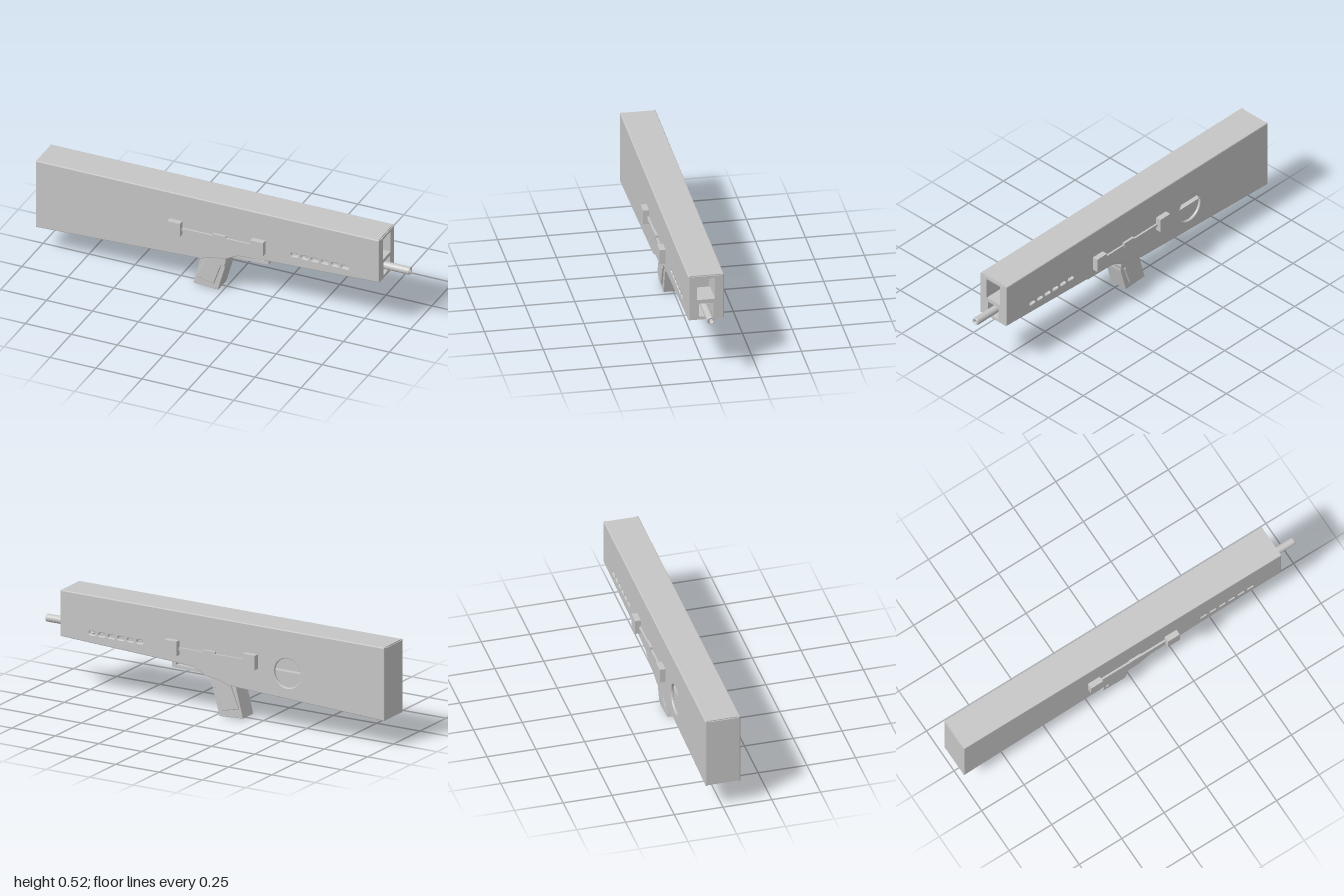
import * as THREE from 'three';

const grey = new THREE.MeshStandardMaterial({ color: 0xc6c6c6 });
grey.name = 'plain grey';

export function createModel() {
  const model = new THREE.Group();
  model.name = 'casedModel';

  const add = (name, geo) => {
    const mesh = new THREE.Mesh(geo, grey);
    mesh.name = name;
    model.add(mesh);
    return mesh;
  };
  // Box given by its limits on each axis
  const box = (name, x0, x1, y0, y1, z0, z1) =>
    add(name, new THREE.BoxGeometry(x1 - x0, y1 - y0, z1 - z0)
      .translate((x0 + x1) / 2, (y0 + y1) / 2, (z0 + z1) / 2));
  const outline = pts => new THREE.Shape(pts.map(p => new THREE.Vector2(...p)));
  // Side profile extruded between two z values, with an optional soft edge
  const slab = (name, shape, z0, z1, b = 0) =>
    add(name, new THREE.ExtrudeGeometry(shape, {
      depth: z1 - z0 - 2 * b, bevelEnabled: b > 0, bevelThickness: b, bevelSize: b,
      bevelOffset: -b, bevelSegments: 2, curveSegments: 20,
    }).translate(0, 0, z0 + b));
  const rect = (x0, x1, y0, y1) => outline([[x0, y0], [x1, y0], [x1, y1], [x0, y1]]);

  // Lower edge of the casing, in front of and behind the grip
  const frontEdge = x => 0.28 - 0.0435 * (0.87 - x);
  const rearEdge = x => 0.14 + 0.0435 * (x + 1);

  // Side walls with vent slots; the right wall also has a round port
  for (const s of [1, -1]) {
    const wall = outline([
      [-1, 0.14], [-0.1, rearEdge(-0.1)], [-0.04, 0.2], [0.03, 0.207], [0.1, 0.243],
      [0.25, frontEdge(0.25)], [0.87, 0.28], [0.87, 0.52], [-1, 0.52],
    ]);
    for (let i = 0; i < 6; i++) {
      const x = 0.41 + 0.055 * i, y = 0.325, r = 0.008, l = 0.011;
      const slot = new THREE.Path();
      slot.absarc(x + l, y, r, -Math.PI / 2, Math.PI / 2);
      slot.absarc(x - l, y, r, Math.PI / 2, Math.PI * 1.5);
      wall.holes.push(slot);
    }
    if (s < 0) {
      const port = new THREE.Path();
      port.absarc(-0.44, 0.298, 0.075, 0, Math.PI * 2);
      wall.holes.push(port);
    }
    slab(s > 0 ? 'leftWall' : 'rightWall', wall, s > 0 ? 0.075 : -0.09, s > 0 ? 0.09 : -0.075, 0.005);
  }

  // Top, back and bottom plates between the walls
  box('topPlate', -0.995, 0.865, 0.505, 0.52, -0.085, 0.085);
  box('backPlate', -1, -0.985, 0.145, 0.515, -0.085, 0.085);
  const bottom = (name, x0, x1, edge) => slab(name, outline([
    [x0, edge(x0)], [x1, edge(x1)], [x1, edge(x1) + 0.015], [x0, edge(x0) + 0.015],
  ]), -0.085, 0.085);
  bottom('rearBottomPlate', -0.995, -0.2, rearEdge);
  bottom('frontBottomPlate', 0.42, 0.868, frontEdge);

  // Front block with two square windows
  const face = rect(-0.085, 0.085, 0.28, 0.515);
  face.holes.push(rect(-0.045, 0.045, 0.388, 0.502), rect(-0.036, 0.036, 0.296, 0.367));
  add('frontBlock', new THREE.ExtrudeGeometry(face, { depth: 0.14, bevelEnabled: false })
    .rotateY(Math.PI / 2).translate(0.73, 0, 0));

  // Inner parts seen through the openings
  box('innerCore', -0.98, 0.7, 0.3, 0.505, -0.045, 0.045);
  box('portShelf', -0.6, -0.28, 0.18, 0.298, -0.068, 0.04);
  box('bulkhead', -0.25, -0.22, 0.18, 0.505, -0.076, 0.076);
  box('openingRoof', -0.24, 0.45, 0.285, 0.295, -0.076, 0.076);
  box('windowSight', 0.72, 0.75, 0.492, 0.502, -0.02, 0.02);
  add('upperTube', new THREE.CylinderGeometry(0.033, 0.033, 0.08, 32)
    .rotateZ(Math.PI / 2).translate(0.72, 0.449, 0));

  // Barrel with a bored muzzle, turned about its axis
  const barrel = [[0, 0.95], [0.009, 0.95], [0.009, 0.995], [0.014, 1], [0.018, 1], [0.02, 0.996], [0.02, 0.65]];
  const turned = new THREE.LatheGeometry(
    barrel.reverse().map(([r, x]) => new THREE.Vector2(r, x)), 24).rotateZ(-Math.PI / 2).translate(0, 0.332, 0);
  const flat = turned.toNonIndexed();
  flat.computeVertexNormals();
  add('barrel', flat);

  // Grip with raised cheek panels
  slab('grip', outline([
    [-0.16, 0.008], [-0.025, 0], [0.012, 0.13], [0.02, 0.24], [-0.09, 0.24], [-0.118, 0.17],
  ]), -0.051, 0.051, 0.003);
  slab('gripPanel', outline([
    [-0.14, 0.055], [-0.045, 0.033], [-0.008, 0.14], [-0.04, 0.2], [-0.09, 0.18],
  ]), -0.061, 0.061, 0.004);
  slab('gripCollar', outline([
    [-0.045, 0.147], [0.012, 0.147], [0.02, 0.165], [0.02, 0.225], [-0.045, 0.225],
  ]), -0.061, 0.061, 0.003);

  // Guard in front of the grip: floor and raised front end
  slab('guard', outline([
    [0.01, 0.205], [0.25, 0.21], [0.25, 0.257], [0.225, 0.257], [0.225, 0.226], [0.01, 0.221],
  ]), -0.051, 0.051);
  slab('trigger', outline([[0.07, 0.222], [0.085, 0.222], [0.1, 0.29], [0.07, 0.29]]), -0.015, 0.015);

  // Side rails: two blocks, thin bar and middle lug
  for (const s of [1, -1]) {
    const z = (a, b) => (s > 0 ? [a, b] : [-b, -a]);
    for (const x of [-0.27, 0.182]) box('railBlock', x, x + 0.07, 0.295, 0.37, ...z(0.085, 0.12));
    box('railBar', -0.21, 0.19, 0.32, 0.334, ...z(0.085, 0.1));
    box('railLug', -0.03, 0.04, 0.32, 0.346, ...z(0.085, 0.103));
  }

  // Small fittings on the underside
  box('frontCatch', 0.685, 0.73, 0.262, 0.28, -0.02, 0.02);
  slab('bottomHatch', outline([
    [-0.685, 0.147], [-0.55, 0.147], [-0.55, 0.165], [-0.685, 0.16],
  ]), -0.05, 0.05);
  box('rearStud', -0.93, -0.9, 0.14, 0.15, -0.015, 0.015);

  return model;
}
